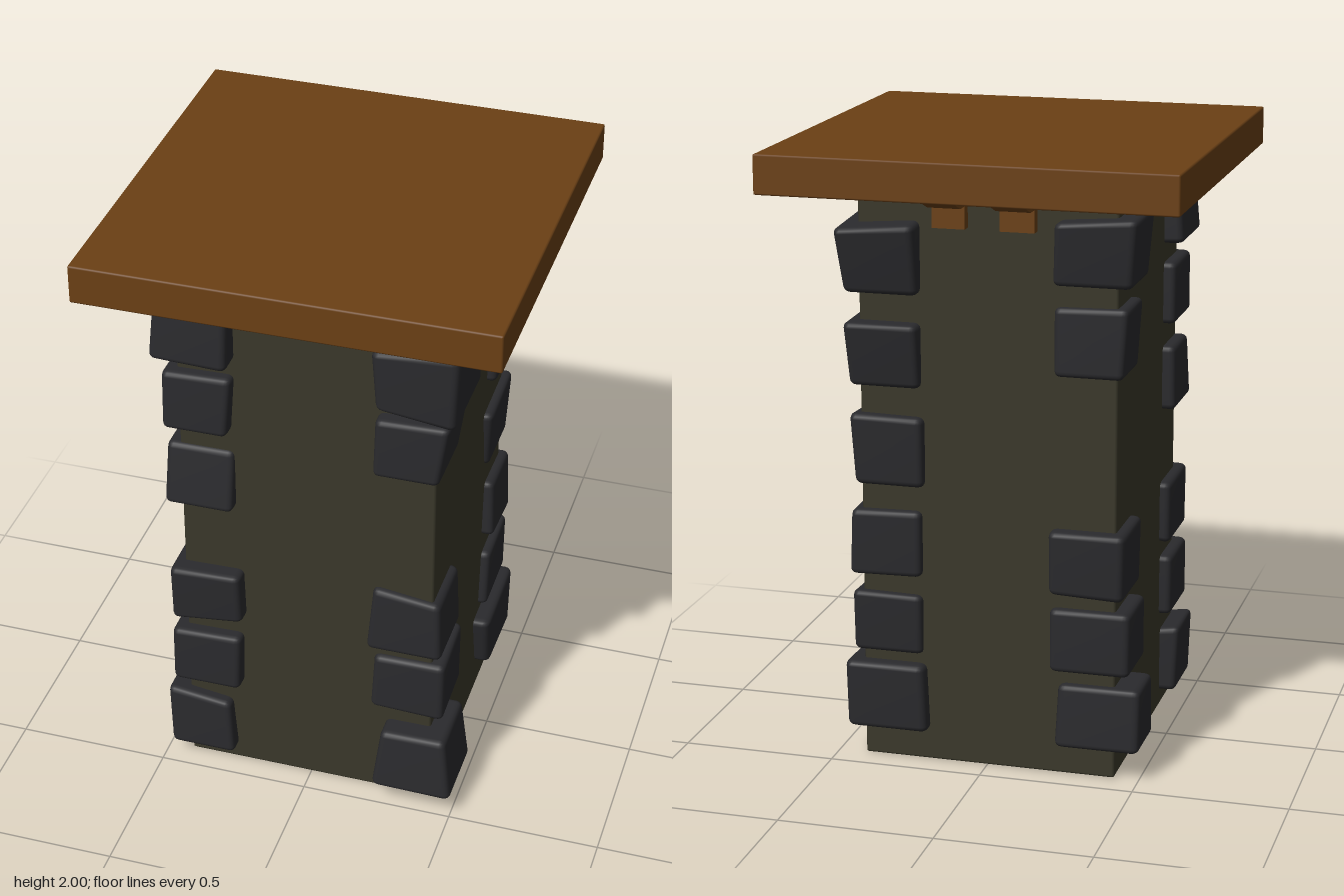
import * as THREE from 'three';
import { RoundedBoxGeometry } from 'three/addons/geometries/RoundedBoxGeometry.js';
import { mergeVertices } from 'three/addons/utils/BufferGeometryUtils.js';

const wood = new THREE.MeshStandardMaterial({ color: 0x6b4015 });
const plaster = new THREE.MeshStandardMaterial({ color: 0x3a382a });
const rock = new THREE.MeshStandardMaterial({ color: 0x2a2a2d });

function add(parent, name, geometry, material) {
  const mesh = new THREE.Mesh(geometry, material);
  mesh.name = name;
  parent.add(mesh);
  return mesh;
}

// Blend of [inner bottom, inner top, outer bottom, outer top]
const blend = ([ib, it, ob, ot], u, v) =>
  (ib * (1 - v) + it * v) * (1 - u) + (ob * (1 - v) + ot * v) * u;

// Bevelled block skewed so that its x, z and y edges follow the given distances.
// y: heights along the x face; yz (optional): heights along the z face
function stoneGeometry(sx, sz, x, z, y, yz = [y[2], y[3], y[2], y[3]]) {
  let g = new RoundedBoxGeometry(1, 1, 1, 2, 0.09);
  g.deleteAttribute('uv');
  g.deleteAttribute('normal');
  const p = g.attributes.position;
  for (let i = 0; i < p.count; i++) {
    const u = 0.5 + sx * p.getX(i), v = 0.5 + p.getY(i), w = 0.5 + sz * p.getZ(i);
    const height = blend(y, u, v) + blend(yz, w, v) - blend(yz, 1, v);
    p.setXYZ(i, sx * blend(x, u, v), height, sz * blend(z, w, v));
  }
  g = mergeVertices(g, 1e-4);
  g.computeVertexNormals();
  return g;
}

// Corner stones, top to bottom: [x edges, z edges, heights, heights on the side]
const frontLeft = [
  [[.24, .225, .49, .5], [.2, .23, .52, .52], [1.575, 1.78, 1.54, 1.8]],
  [[.22, .225, .43, .46], [.23, .23, .475, .47], [1.3, 1.505, 1.3, 1.51]],
  [[.195, .215, .445, .435], [.2, .2, .45, .44], [.6, .84, .6, .81]],
  [[.21, .22, .455, .455], [.22, .21, .445, .44], [.36, .565, .35, .565], [.37, .565, .35, .54]],
  [[.235, .26, .505, .475], [.255, .255, .52, .495], [.085, .3, .08, .3]],
];
const backLeft = [
  [[.21, .21, .45, .47], [.21, .17, .45, .495], [1.54, 1.77, 1.54, 1.75], [1.55, 1.77, 1.54, 1.75]],
  [[.21, .21, .44, .45], [.2, .21, .435, .47], [1.24, 1.45, 1.24, 1.45], [1.255, 1.455, 1.24, 1.45]],
  [[.2, .2, .425, .44], [.205, .17, .44, .45], [.92, 1.15, .92, 1.155], [.92, 1.14, .92, 1.155]],
  [[.21, .21, .45, .44], [.2, .215, .435, .44], [.62, .84, .615, .835], [.635, .84, .615, .835]],
  [[.21, .21, .44, .44], [.185, .205, .43, .44], [.36, .56, .36, .565], [.35, .555, .36, .565]],
  [[.19, .2, .46, .465], [.165, .12, .455, .46], [.1, .33, .1, .33], [.115, .32, .1, .33]],
];
const frontRight = [
  [[.235, .235, .485, .47], [.22, .22, .5, .48], [1.6, 1.835, 1.61, 1.82]],
  [[.25, .235, .46, .46], [.22, .22, .47, .46], [1.34, 1.55, 1.34, 1.545]],
  [[.24, .24, .465, .46], [.22, .22, .465, .43], [1.05, 1.265, 1.05, 1.265]],
  [[.215, .22, .455, .455], [.21, .21, .47, .48], [.62, .805, .59, .8]],
  [[.23, .225, .46, .46], [.22, .22, .47, .465], [.335, .545, .335, .54]],
  [[.255, .27, .475, .485], [.24, .24, .47, .46], [.055, .255, .055, .285]],
];
const backRight = [
  [[.22, .23, .47, .49], [.22, .22, .45, .475], [1.6, 1.8, 1.6, 1.82]],
  [[.22, .22, .44, .455], [.22, .22, .43, .43], [1.31, 1.53, 1.31, 1.535]],
  [[.21, .21, .45, .455], [.2, .2, .45, .46], [.61, .82, .6, .82]],
  [[.21, .21, .47, .47], [.21, .21, .44, .44], [.35, .56, .35, .56]],
  [[.23, .24, .505, .505], [.24, .25, .45, .44], [.1, .31, .1, .31]],
];

export function createModel() {
  const model = new THREE.Group();
  model.name = 'stonePillar';

  // Column shaft
  const shaft = add(model, 'columnShaft', new RoundedBoxGeometry(0.83, 1.87, 0.83, 1, 0.008), plaster);
  shaft.position.set(-0.005, 0.935, 0.003);

  // Wooden top slab
  add(model, 'topSlab', new RoundedBoxGeometry(1.315, 0.125, 1.315, 1, 0.006), wood).position.y = 1.9375;

  // Quoin stones along the four corners
  const corners = [
    ['frontLeftStone', 1, 1, frontLeft], ['backLeftStone', 1, -1, backLeft],
    ['frontRightStone', -1, 1, frontRight], ['backRightStone', -1, -1, backRight],
  ];
  for (const [name, sx, sz, stones] of corners)
    for (const stone of stones) add(model, name, stoneGeometry(sx, sz, ...stone), rock);

  // Two brackets under the slab on each side
  const profile = new THREE.Shape([
    [0.4, 1.76], [0.445, 1.76], [0.445, 1.832], [0.49, 1.832], [0.61, 1.88], [0.4, 1.88],
  ].map(([d, y]) => new THREE.Vector2(d, y)));
  for (let side = 0; side < 4; side++) {
    const pair = new THREE.Group();
    pair.name = 'bracketPair';
    pair.rotation.y = side * Math.PI / 2;
    // Side brackets are a little wider than those on the front and back
    const spans = side % 2 ? [[-0.165, -0.055], [0.055, 0.16]]
      : side === 0 ? [[0.05, 0.18], [-0.18, -0.03]] : [[-0.18, -0.05], [0.03, 0.18]];
    for (const [a, b] of spans) {
      const g = new THREE.ExtrudeGeometry(profile, { depth: b - a, bevelEnabled: false });
      add(pair, 'bracket', g, wood).position.z = a;
    }
    model.add(pair);
  }
  return model;
}
